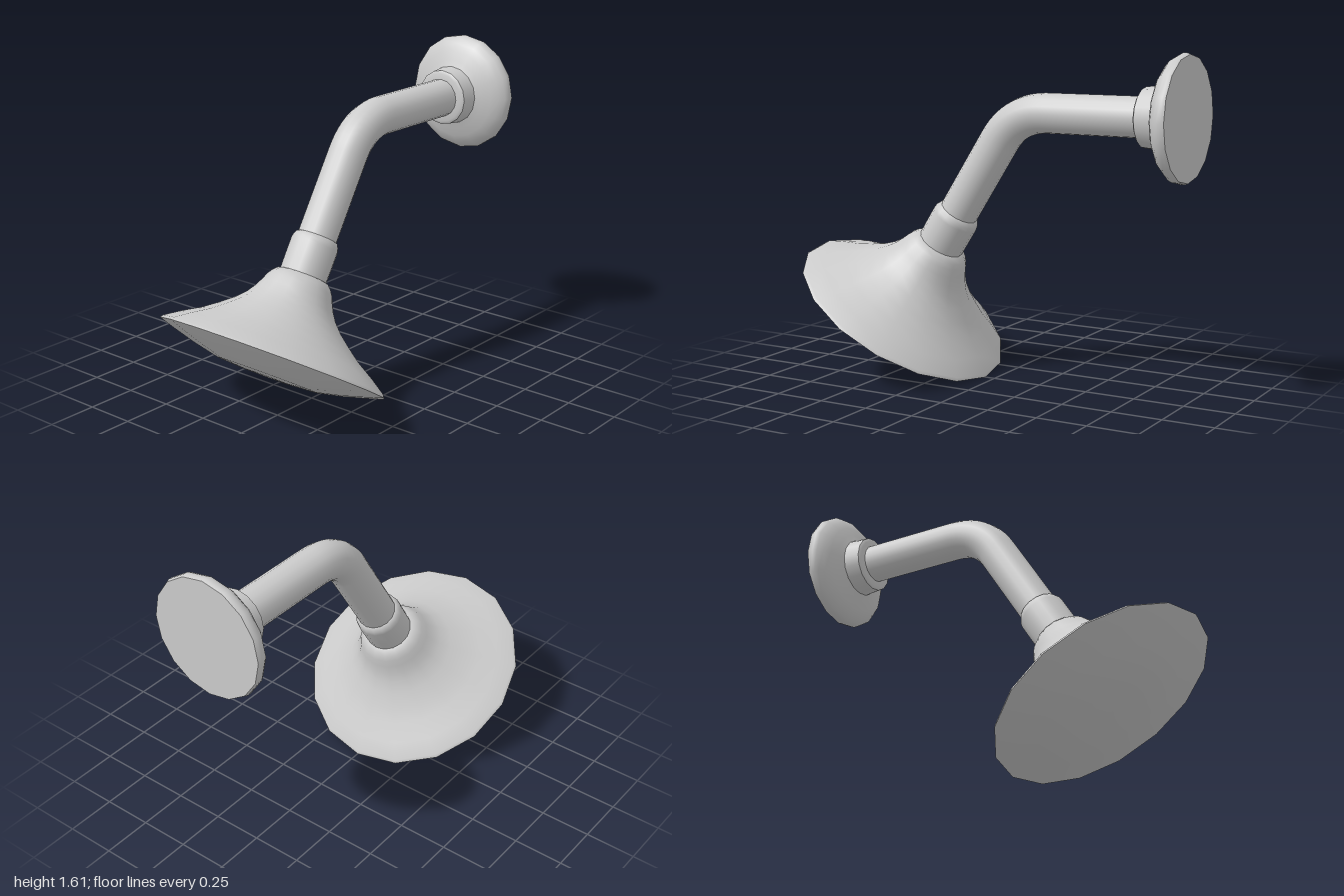
import * as THREE from 'three';

const SIDES = 16;
const material = new THREE.MeshStandardMaterial({ color: 0xcccccc, side: THREE.DoubleSide });

// Direction from the spray face up along the sloping part of the arm
const AXIS = new THREE.Vector3(0.534, 0.845, 0).normalize();
const TILT = -Math.atan2(AXIS.x, AXIS.y);
const FACE = new THREE.Vector3(-0.525, 0.307, 0);
const ARM_Y = 1.325;

const alongAxis = (t) => FACE.clone().addScaledVector(AXIS, t);

// Turned part from [radius, height] pairs, listed bottom to top
function turned(name, profile) {
  const points = profile.map(([r, h]) => new THREE.Vector2(r, h));
  const mesh = new THREE.Mesh(new THREE.LatheGeometry(points, SIDES), material);
  mesh.name = name;
  return mesh;
}

function createHead() {
  const head = new THREE.Group();
  head.name = 'showerHead';
  head.position.copy(FACE);
  head.rotation.z = TILT;
  head.add(
    // shallow dome on the underside
    turned('sprayFace', [[0, -0.092], [0.12, -0.09], [0.25, -0.082], [0.37, -0.056], [0.48, -0.026], [0.54, -0.008], [0.562, 0]]),
    // flared bell with a rounded shoulder
    turned('bell', [[0.562, 0], [0.552, 0.014], [0.48, 0.062], [0.395, 0.112], [0.33, 0.16], [0.268, 0.21],
      [0.225, 0.255], [0.198, 0.295], [0.178, 0.335], [0.163, 0.37], [0.148, 0.392], [0.128, 0.412], [0.105, 0.42]]),
    // sleeve joining the bell to the arm
    turned('sleeve', [[0.115, 0.36], [0.117, 0.48], [0.117, 0.57], [0.113, 0.59], [0.103, 0.608], [0.09, 0.614]]),
  );
  return head;
}

function createArm() {
  // sloping run, rounded elbow, level run to the wall
  const corner = alongAxis((ARM_Y - FACE.y) / AXIS.y);
  const bendStart = corner.clone().addScaledVector(AXIS, -0.17);
  const bendEnd = corner.clone().add(new THREE.Vector3(0.17, 0, 0));
  const path = new THREE.CurvePath();
  path.add(new THREE.LineCurve3(alongAxis(0.45), bendStart));
  path.add(new THREE.QuadraticBezierCurve3(bendStart, corner, bendEnd));
  path.add(new THREE.LineCurve3(bendEnd, new THREE.Vector3(0.86, ARM_Y, 0)));
  const arm = new THREE.Mesh(new THREE.TubeGeometry(path, 48, 0.096, SIDES), material);
  arm.name = 'arm';
  return arm;
}

function createWallMount() {
  const mount = new THREE.Group();
  mount.name = 'wallMount';
  mount.position.y = ARM_Y;
  mount.rotation.z = -Math.PI / 2;
  mount.add(
    turned('collarEnd', [[0.09, 0.778], [0.125, 0.78], [0.14, 0.79]]),
    turned('collar', [[0.14, 0.79], [0.144, 0.83], [0.148, 0.872]]),
    turned('flange', [[0.148, 0.872], [0.18, 0.885], [0.225, 0.902], [0.26, 0.922], [0.285, 0.945], [0.296, 0.965], [0.296, 0.985], [0.29, 1]]),
    turned('backPlate', [[0.29, 1], [0, 1]]),
  );
  return mount;
}

export function createModel() {
  const model = new THREE.Group();
  model.name = 'wallShower';
  model.add(createHead(), createArm(), createWallMount());
  return model;
}
